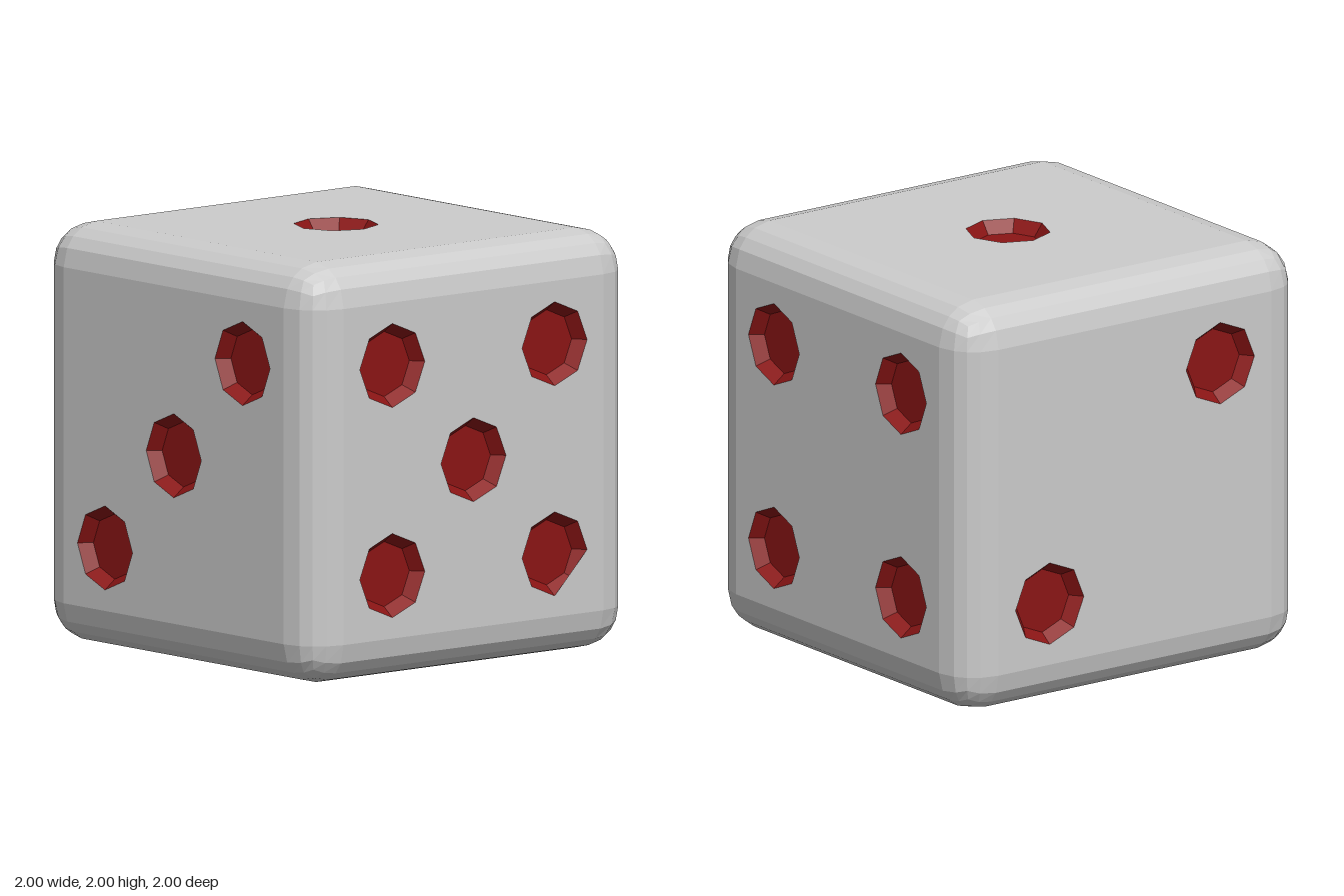
import * as THREE from 'three';
import { RoundedBoxGeometry } from 'three/addons/geometries/RoundedBoxGeometry.js';

const BEVEL = 0.2, FLAT = 1 - BEVEL;
const PIP_R = 0.2, FLOOR_R = 0.155, DEPTH = 0.06, SIDES = 8;
const S = 0.5; // pip spacing

// Rounded cube with its six flat panels left out, so pierced panels can take their place
function bevelGeometry() {
  const source = new RoundedBoxGeometry(2, 2, 2, 2, BEVEL);
  const p = source.getAttribute('position').array;
  const kept = [];
  for (let i = 0; i < p.length; i += 9) {
    const isFlat = [0, 1, 2].some((axis) =>
      [1, -1].some((sign) =>
        [0, 3, 6].every((v) => p[i + v + axis] * sign > 0.9999)));
    if (!isFlat) for (let k = 0; k < 9; k++) kept.push(p[i + k]);
  }
  const geometry = new THREE.BufferGeometry();
  geometry.setAttribute('position', new THREE.Float32BufferAttribute(kept, 3));
  geometry.computeVertexNormals();
  return geometry;
}

// Flat panel with an octagonal hole for every pip; a pip may skip one hole corner
function panelGeometry(pips) {
  const shape = new THREE.Shape([
    new THREE.Vector2(-FLAT, -FLAT), new THREE.Vector2(FLAT, -FLAT),
    new THREE.Vector2(FLAT, FLAT), new THREE.Vector2(-FLAT, FLAT),
  ]);
  for (const [x, y, skip = -1] of pips) {
    const corners = [];
    for (let i = 0; i < SIDES; i++) {
      if (i === skip) continue;
      const a = (i / SIDES) * Math.PI * 2;
      corners.push(new THREE.Vector2(x + PIP_R * Math.cos(a), y + PIP_R * Math.sin(a)));
    }
    shape.holes.push(new THREE.Path(corners));
  }
  return new THREE.ShapeGeometry(shape);
}

// Shallow tapered cup that opens toward +z
function cupGeometry() {
  const profile = [[PIP_R, 0], [FLOOR_R, -DEPTH], [0, -DEPTH]]
    .map(([r, h]) => new THREE.Vector2(r, h));
  return new THREE.LatheGeometry(profile, SIDES).rotateX(Math.PI / 2);
}

export function createModel() {
  const die = new THREE.Group();
  die.name = 'die';
  const bodyMaterial = new THREE.MeshStandardMaterial({ color: 0xcccccc, flatShading: true });
  const pipMaterial = new THREE.MeshStandardMaterial({
    color: 0x8b1515, flatShading: true, side: THREE.DoubleSide,
  });

  // Rounded edges and corners
  const edges = new THREE.Mesh(bevelGeometry(), bodyMaterial);
  edges.name = 'roundedEdges';
  edges.position.y = 1;
  die.add(edges);

  // Pip layouts, each drawn on a panel facing +z and then turned into place
  const H = Math.PI / 2;
  const two = [[S, S], [-S, -S]];
  const four = [...two, [-S, S], [S, -S]];
  const faces = [
    { name: 'frontFace', turn: [0, 0], pips: [...two, [0, 0]] },
    { name: 'rightFace', turn: [0, H], pips: [...two, [0, 0], [-S, S], [S, -S, 7]] },
    { name: 'backFace', turn: [0, 2 * H], pips: four },
    { name: 'leftFace', turn: [0, -H], pips: two },
    { name: 'topFace', turn: [-H, 0], pips: [[0, 0]] },
    { name: 'bottomFace', turn: [H, 0], pips: [...four, [0, S], [0, -S]] },
  ];

  const cup = cupGeometry();
  for (const { name, turn, pips } of faces) {
    const face = new THREE.Group();
    face.name = name;
    face.position.y = 1;
    face.rotation.set(turn[0], turn[1], 0);

    const panel = new THREE.Mesh(panelGeometry(pips), bodyMaterial);
    panel.name = 'panel';
    panel.position.z = 1;
    face.add(panel);

    for (const [x, y] of pips) {
      const pip = new THREE.Mesh(cup, pipMaterial);
      pip.name = 'pip';
      pip.position.set(x, y, 1);
      face.add(pip);
    }
    die.add(face);
  }
  return die;
}
